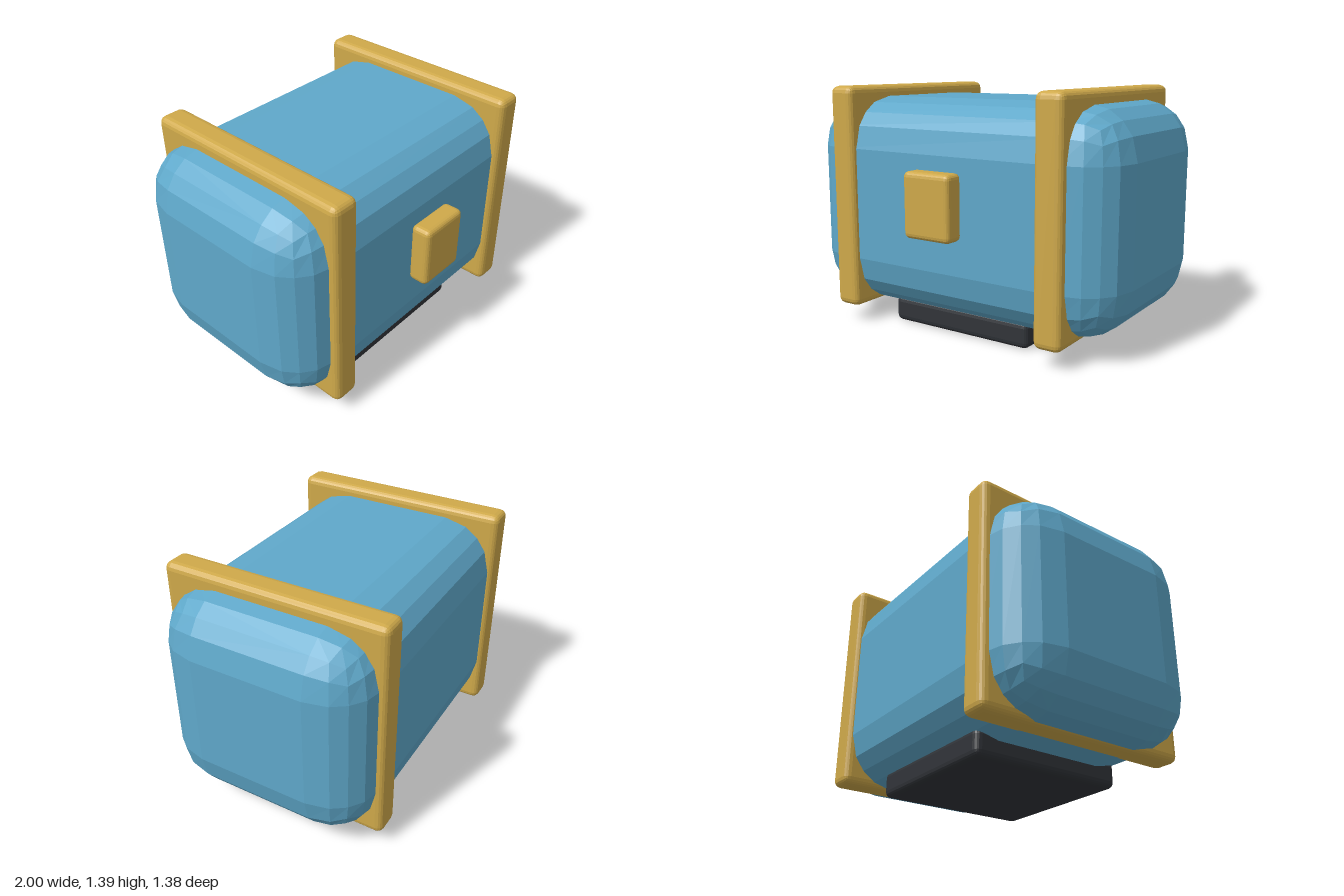
import * as THREE from 'three';
import { RoundedBoxGeometry } from 'three/addons/geometries/RoundedBoxGeometry.js';

const material = (name, color) =>
  new THREE.MeshStandardMaterial({ name, color, flatShading: true });

export function createModel() {
  const model = new THREE.Group();
  model.name = 'chest';

  const blue = material('blue shell', 0x5fa8ca);
  const gold = material('gold trim', 0xcfa94a);
  const dark = material('dark base', 0x313439);

  // Bevelled block given by its extents on each axis
  const block = (name, mat, [x0, x1], [y0, y1], [z0, z1], radius) => {
    const mesh = new THREE.Mesh(
      new RoundedBoxGeometry(x1 - x0, y1 - y0, z1 - z0, 2, radius), mat);
    mesh.name = name;
    mesh.position.set((x0 + x1) / 2, (y0 + y1) / 2, (z0 + z1) / 2);
    model.add(mesh);
    return mesh;
  };

  // Main shell with broad two-step bevels
  block('body', blue, [-1, 1], [0.1, 1.323], [-0.662, 0.566], 0.29);

  // Square bands around both ends
  for (const side of [-1, 1]) {
    const band = block(side > 0 ? 'leftBand' : 'rightBand', gold,
      [-0.082, 0.082], [0.099, 1.387], [-0.69, 0.6], 0.04);
    band.position.x = side * 0.678;
  }

  // Clasp plate on the front
  block('clasp', gold, [-0.152, 0.152], [0.592, 0.955], [0.57, 0.69], 0.03);

  // Low foot underneath
  block('base', dark, [-0.46, 0.46], [0, 0.152], [-0.506, 0.416], 0.035);

  return model;
}
